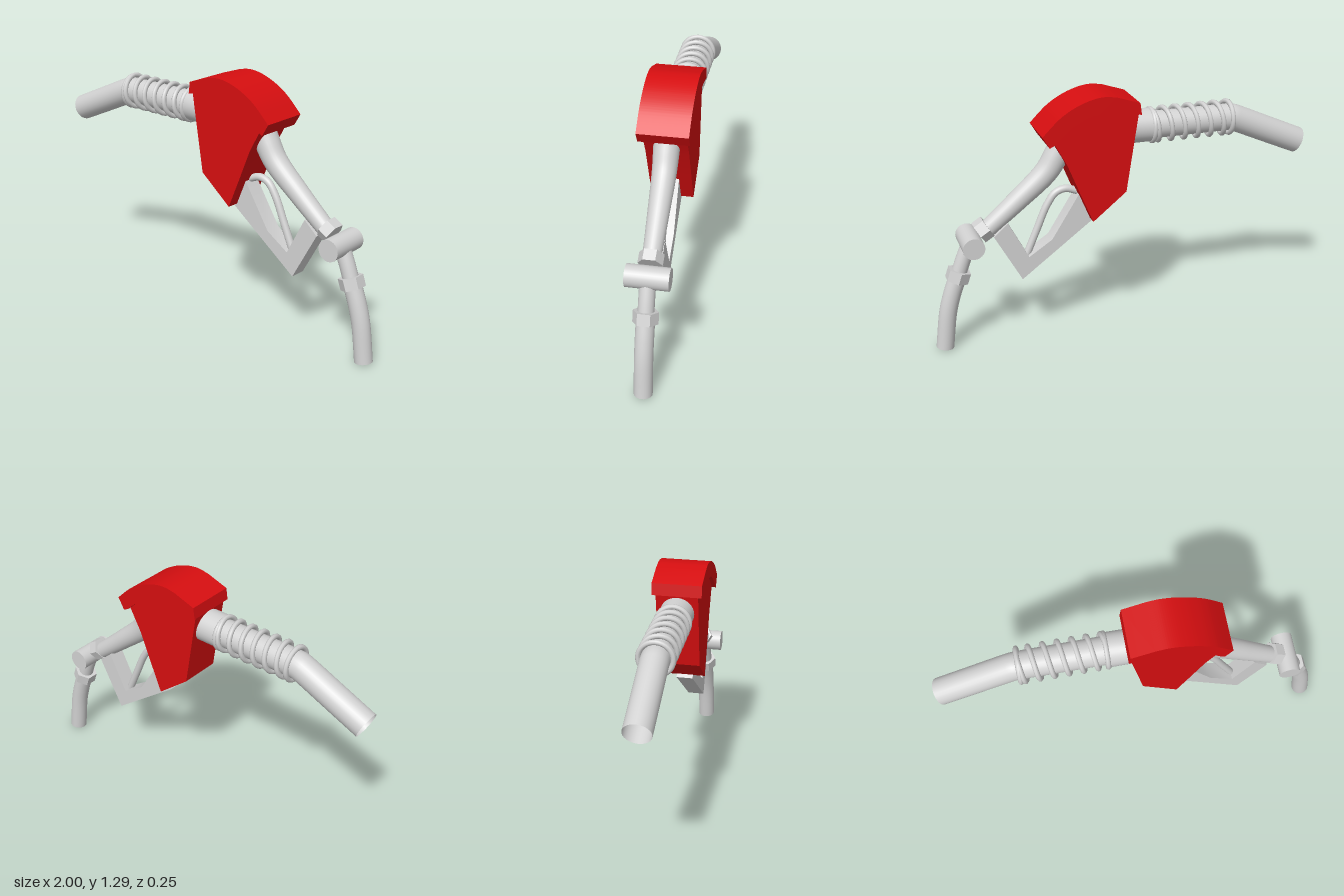
import * as THREE from 'three';
import { toCreasedNormals } from 'three/addons/utils/BufferGeometryUtils.js';

const V = ([x, y]) => new THREE.Vector3(x, y, 0);

export function createModel() {
  const group = new THREE.Group();
  const red = new THREE.MeshStandardMaterial({ name: 'red plastic', color: 0xd60e10 });
  const grey = new THREE.MeshStandardMaterial({ name: 'grey metal', color: 0xd2d2d2, side: THREE.DoubleSide });

  const add = (name, geometry, material) => {
    const mesh = new THREE.Mesh(geometry, material);
    mesh.name = name;
    group.add(mesh);
    return mesh;
  };

  // Plate with an outline in the x-y plane, centred on z = 0
  const plate = (name, shape, halfWidth, material) => {
    const g = new THREE.ExtrudeGeometry(shape, { depth: 2 * halfWidth, bevelEnabled: false, curveSegments: 24 });
    g.translate(0, 0, -halfWidth);
    return add(name, toCreasedNormals(g, 0.5), material);
  };

  // Round tube along a path, its radius blended from r0 to r1
  const pipe = (name, points, r0, r1, capEnd = false) => {
    const curve = new THREE.CatmullRomCurve3(points.map(V));
    const rings = 48, sides = 28;
    const g = new THREE.TubeGeometry(curve, rings, 1, sides);
    const pos = g.attributes.position, p = new THREE.Vector3();
    for (let i = 0; i < pos.count; i++) {
      const t = Math.floor(i / (sides + 1)) / rings;
      const centre = curve.getPointAt(t);
      p.fromBufferAttribute(pos, i).sub(centre).multiplyScalar(r0 + (r1 - r0) * t).add(centre);
      pos.setXYZ(i, p.x, p.y, p.z);
    }
    add(name, g, grey);
    if (capEnd) {
      const cap = add(name + 'Cap', new THREE.CircleGeometry(r1, sides), grey);
      const end = curve.getPointAt(1);
      cap.position.copy(end);
      cap.lookAt(end.clone().add(curve.getTangentAt(1)));
    }
  };

  // Cylinder or hexagonal nut whose axis lies along dir in the x-y plane
  const collar = (name, [x, y], dir, radius, length, sides) => {
    const g = toCreasedNormals(new THREE.CylinderGeometry(radius, radius, length, sides), 0.6);
    const mesh = add(name, g, grey);
    mesh.position.set(x, y, 0);
    mesh.quaternion.setFromUnitVectors(new THREE.Vector3(0, 1, 0), V(dir).normalize());
  };

  // Red body
  const vec2 = (list) => list.map(([x, y]) => new THREE.Vector2(x, y));
  plate('body', new THREE.Shape(vec2([
    [-0.055, 1.2], [0.01, 0.79], [0.185, 0.648], [0.25, 0.805], [0.315, 0.965],
    [0.378, 1.08], [0.32, 1.15], [0.2, 1.22], [0.06, 1.22],
  ])), 0.106, red);

  // Wider curved cover on top
  const cover = new THREE.Shape();
  cover.moveTo(-0.063, 1.19);
  cover.lineTo(-0.055, 1.25);
  cover.lineTo(0.06, 1.288);
  cover.splineThru(vec2([[0.125, 1.297], [0.195, 1.287], [0.275, 1.257], [0.355, 1.207], [0.44, 1.125]]));
  cover.lineTo(0.405, 1.066);
  cover.lineTo(0.377, 1.08);
  cover.splineThru(vec2([[0.33, 1.125], [0.275, 1.168], [0.21, 1.2], [0.125, 1.21], [0.035, 1.204], [-0.063, 1.19]]));
  plate('cover', cover, 0.125, red);

  // Hose and its collar
  pipe('hose', [[-0.975, 0.927], [-0.8, 1.003], [-0.63, 1.077], [-0.595, 1.09], [-0.55, 1.092], [-0.35, 1.092], [-0.1, 1.092]], 0.068, 0.07);
  collar('hoseCollar', [-0.085, 1.095], [1, 0], 0.085, 0.12, 32);

  // Spring around the hose, with a closed coil at each end
  class Coil extends THREE.Curve {
    getPoint(t, target = new THREE.Vector3()) {
      const turn = t * 8, a = turn * Math.PI * 2;
      const k = Math.min(1, Math.max(0, (turn - 1) / 6));
      return target.set(-0.573 + 0.42 * k, 1.093 + 0.082 * Math.cos(a), 0.082 * Math.sin(a));
    }
  }
  add('spring', new THREE.TubeGeometry(new Coil(), 256, 0.013, 8), grey);

  // Neck leading from the body to the swivel
  pipe('neck', [[0.29, 1.08], [0.34, 0.99], [0.395, 0.905], [0.54, 0.775], [0.72, 0.625]], 0.067, 0.044);
  collar('neckNut', [0.725, 0.638], [0.84, -0.54], 0.06, 0.055, 6);

  // Swivel joint lying across the spout
  const swivel = add('swivel', new THREE.CylinderGeometry(0.055, 0.055, 0.21, 32), grey);
  swivel.position.set(0.793, 0.582, 0);
  swivel.rotation.x = Math.PI / 2;

  // Spout
  pipe('spoutNeck', [[0.8, 0.57], [0.835, 0.485], [0.865, 0.4]], 0.039, 0.039);
  collar('spoutNut', [0.863, 0.408], [0.33, -0.94], 0.062, 0.058, 6);
  pipe('spout', [[0.868, 0.395], [0.9, 0.305], [0.925, 0.21], [0.951, 0.017]], 0.045, 0.045, true);

  // Guard below the trigger
  plate('guard', new THREE.Shape(vec2([
    [0.17, 0.635], [0.543, 0.355], [0.68, 0.605], [0.607, 0.67],
    [0.505, 0.473], [0.383, 0.553], [0.24, 0.78], [0.19, 0.67],
  ])), 0.043, grey);

  // Trigger lever
  pipe('trigger', [[0.21, 0.77], [0.25, 0.79], [0.3, 0.804], [0.35, 0.788], [0.395, 0.728], [0.45, 0.605], [0.508, 0.47]], 0.019, 0.019);

  return group;
}
